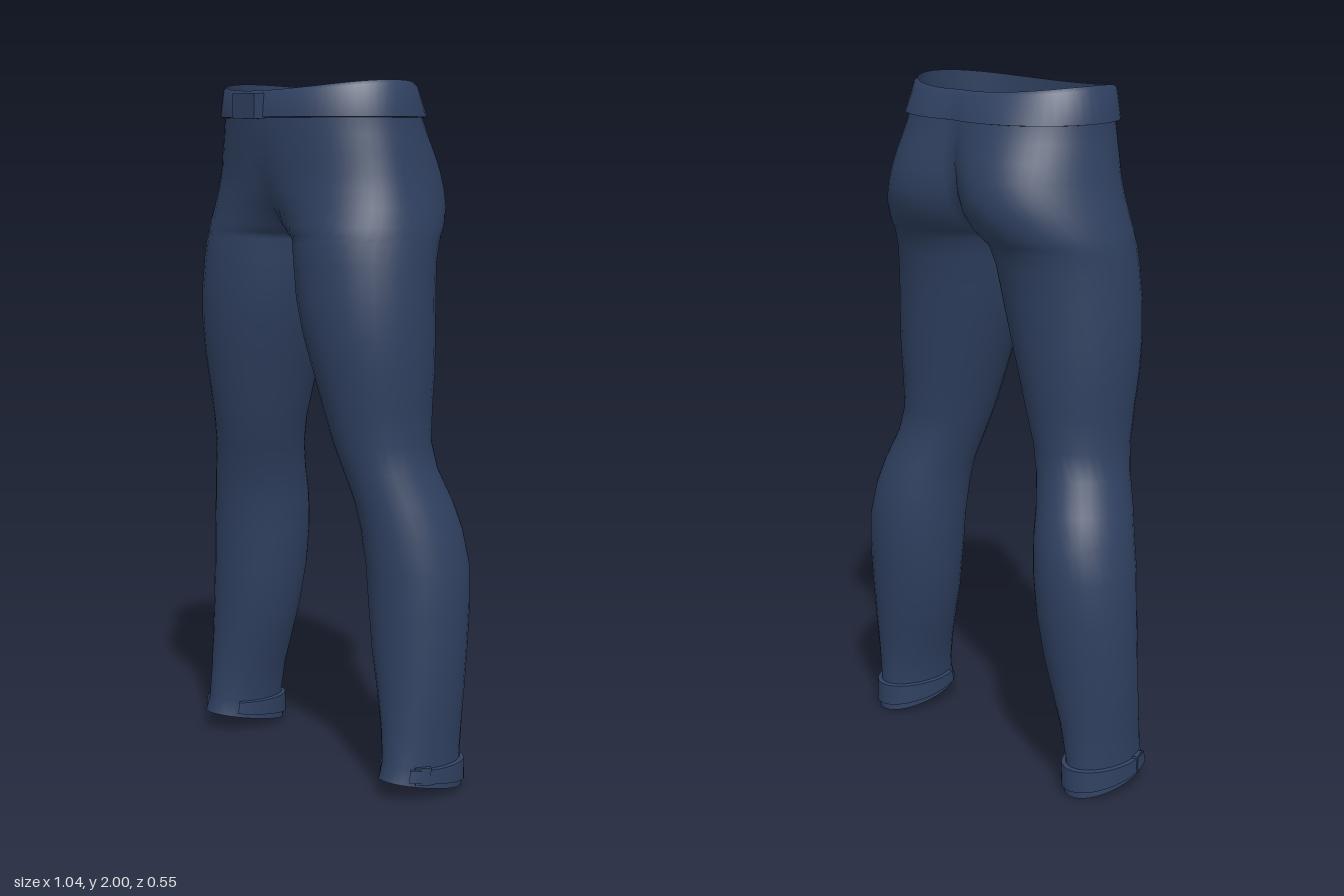
import * as THREE from 'three';
import { mergeVertices, toCreasedNormals } from 'three/addons/utils/BufferGeometryUtils.js';

// Half cross-sections: y, outer x, lobe centre x in front, lobe centre x behind, mid z, front z, back z
const HIPS = [
  [2.0, 0.325, 0, 0.05, 0, 0.235, -0.2],
  [1.9, 0.335, 0, 0.08, 0, 0.235, -0.225],
  [1.85, 0.345, 0.01, 0.1, 0, 0.23, -0.24],
  [1.8, 0.355, 0.03, 0.12, 0, 0.225, -0.258],
  [1.75, 0.364, 0.055, 0.138, 0, 0.217, -0.272],
  [1.7, 0.376, 0.09, 0.15, 0, 0.212, -0.277],
  [1.65, 0.39, 0.13, 0.165, 0, 0.21, -0.27],
  [1.6, 0.403, 0.175, 0.183, 0, 0.21, -0.245],
  [1.575, 0.407, 0.192, 0.196, 0, 0.21, -0.225],
  [1.555, 0.41, 0.205, 0.205, 0, 0.211, -0.208],
];
// Legs: y, outer x, inner x, front z, back z
const LEGS = [
  [1.5, 0.416, 0.012, 0.213, -0.19],
  [1.4, 0.425, 0.03, 0.215, -0.177],
  [1.3, 0.429, 0.057, 0.207, -0.168],
  [1.2, 0.428, 0.09, 0.19, -0.16],
  [1.1, 0.42, 0.12, 0.17, -0.15],
  [1.0, 0.416, 0.152, 0.15, -0.14],
  [0.92, 0.432, 0.177, 0.13, -0.148],
  [0.83, 0.465, 0.205, 0.112, -0.178],
  [0.75, 0.487, 0.215, 0.1, -0.2],
  [0.65, 0.51, 0.222, 0.09, -0.21],
  [0.53, 0.516, 0.232, 0.086, -0.205],
  [0.4, 0.518, 0.253, 0.085, -0.19],
  [0.3, 0.515, 0.282, 0.085, -0.178],
  [0.2, 0.51, 0.312, 0.088, -0.165],
  [0.1, 0.503, 0.335, 0.096, -0.158],
  [0.035, 0.508, 0.332, 0.11, -0.165],
].map(([y, xo, xi, zf, zb]) => [y, xo, (xo + xi) / 2, (xo + xi) / 2, (zf + zb) / 2, zf, zb]);
const SECTIONS = [...HIPS, ...LEGS];

// Section at any height, pushed outward by a small offset
function sectionAt(y, out = 0) {
  let i = 0;
  while (i < SECTIONS.length - 2 && SECTIONS[i + 1][0] > y) i++;
  const a = SECTIONS[i], b = SECTIONS[i + 1];
  const k = (a[0] - y) / (a[0] - b[0]);
  const s = a.map((v, n) => v + (b[n] - v) * k);
  s[1] += out;
  s[5] += out;
  s[6] -= out;
  return s;
}

// Point on a section: u = -1 back seam, 0 outer side, 1 front seam
function sectionPoint([y, xo, cf, cb, zc, zf, zb], u) {
  const front = Math.sin(u * Math.PI) > 0;
  const cx = front ? cf : cb, rx = xo - cx;
  const t = u * Math.acos(Math.max(-1, -cx / rx));
  const z = zc + Math.sin(t) * (Math.sin(t) > 0 ? zf - zc : zc - zb);
  let x = cx + rx * Math.cos(t);
  if (Math.abs(x) < 1e-5) x = 0;
  // The waist rim dips at front and back; the hem rises toward the front
  if (y > 1.9) y -= 0.5 * z * z * (y - 1.9) / 0.1;
  if (y < 0.1) y += 0.2 * z * (0.1 - y) / 0.065;
  return [x, y, z];
}

// Skin the sections on the given sides and weld the seams
function loft(sections, u0 = -1, u1 = 1, cols = 32, sides = [1, -1]) {
  const pos = [], index = [];
  for (const side of sides) {
    const base = pos.length / 3;
    for (const s of sections) {
      for (let j = 0; j <= cols; j++) {
        const [x, y, z] = sectionPoint(s, u0 + (u1 - u0) * j / cols);
        pos.push(side * x, y, z);
      }
    }
    for (let i = 0; i < sections.length - 1; i++) {
      for (let j = 0; j < cols; j++) {
        const a = base + i * (cols + 1) + j, b = a + 1, c = a + cols + 1, d = c + 1;
        if (side > 0) index.push(a, b, d, a, d, c);
        else index.push(a, d, b, a, c, d);
      }
    }
  }
  let g = new THREE.BufferGeometry();
  g.setAttribute('position', new THREE.Float32BufferAttribute(pos, 3));
  g.setIndex(index);
  g = mergeVertices(g, 1e-5);
  g.computeVertexNormals();
  return g;
}

export function createModel() {
  const group = new THREE.Group();
  const navy = new THREE.MeshStandardMaterial({ color: 0x2f4060, side: THREE.DoubleSide });
  navy.name = 'navy cloth';

  const add = (name, geometry, x = 0, y = 0, z = 0) => {
    const mesh = new THREE.Mesh(geometry, navy);
    mesh.name = name;
    mesh.position.set(x, y, z);
    group.add(mesh);
    return mesh;
  };

  // Hips and both legs in one skin, open at waist and hems
  add('trousers', loft(SECTIONS));

  // Waistband standing slightly proud of the cloth
  const band = [[2.0, 0], [1.99, 0.008], [1.9, 0.014], [1.898, 0]].map(([y, o]) => sectionAt(y, o));
  add('waistband', toCreasedNormals(loft(band), 0.7));
  add('buckle', new THREE.BoxGeometry(0.1, 0.07, 0.035), 0, 1.93, 0.257);

  // Ankle straps around the back of each hem, with a tab at the outer end
  const strap = [[0.094, 0], [0.092, 0.012], [0.05, 0.01], [0.048, 0]].map(([y, o]) => {
    const s = sectionAt(y, o);
    return s;
  });
  for (const side of [1, -1]) {
    const name = side > 0 ? 'left' : 'right';
    add(name + 'AnkleStrap', toCreasedNormals(loft(strap, -1.2, 0.25, 28, [side]), 0.7));
    const tab = add(name + 'StrapTab', new THREE.BoxGeometry(0.02, 0.05, 0.045), side * 0.495, 0.075, 0.03);
    tab.rotation.y = -side * 0.5;
  }
  return group;
}
